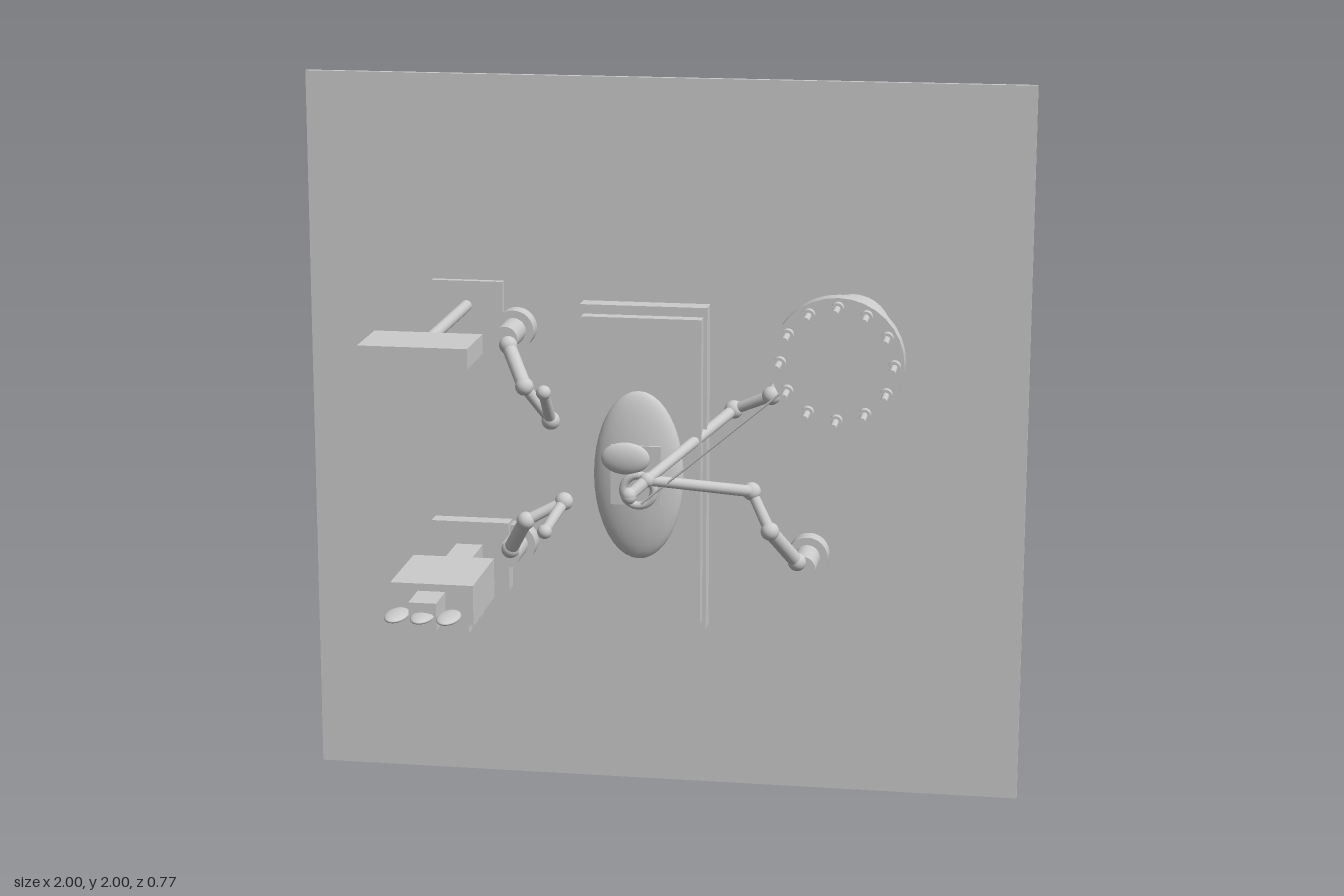
import * as THREE from 'three';

const material = new THREE.MeshStandardMaterial({ color: 0xcccccc });

export function createModel() {
  const root = new THREE.Group();

  function add(name, geometry, x = 0, y = 0, z = 0, parent = root) {
    const mesh = new THREE.Mesh(geometry, material);
    mesh.name = name;
    mesh.position.set(x, y, z);
    parent.add(mesh);
    return mesh;
  }
  // Box given by its minimum and maximum on each axis
  const box = (name, x0, x1, y0, y1, z0, z1, parent) =>
    add(name, new THREE.BoxGeometry(x1 - x0, y1 - y0, z1 - z0),
      (x0 + x1) / 2, (y0 + y1) / 2, (z0 + z1) / 2, parent);
  // Cylinder running along z
  const disc = (name, r, x, y, z0, z1, parent) =>
    add(name, new THREE.CylinderGeometry(r, r, z1 - z0, 32).rotateX(Math.PI / 2),
      x, y, (z0 + z1) / 2, parent);
  const ellipsoid = (name, rx, ry, rz, x, y, z, parent) =>
    add(name, new THREE.SphereGeometry(1, 32, 20).scale(rx, ry, rz), x, y, z, parent);
  // Rod between two points
  function rod(name, a, b, r0, r1, parent) {
    const start = new THREE.Vector3(...a), end = new THREE.Vector3(...b);
    const dir = end.clone().sub(start);
    const mid = start.clone().add(end).multiplyScalar(0.5);
    const mesh = add(name, new THREE.CylinderGeometry(r1, r0, dir.length(), 16), mid.x, mid.y, mid.z, parent);
    mesh.quaternion.setFromUnitVectors(new THREE.Vector3(0, 1, 0), dir.normalize());
  }
  function group(name) {
    const g = new THREE.Group();
    g.name = name;
    root.add(g);
    return g;
  }

  // Back panel
  box('backPanel', -1, 1, 0, 2, -0.386, -0.37);

  // Table on a thick column
  const table = group('table');
  disc('column', 0.075, 0, 1.005, -0.37, -0.06, table);
  box('tableFrame', -0.17, 0.17, 0.565, 1.445, -0.062, -0.008, table);
  box('tablePad', -0.16, 0.16, 0.59, 1.42, -0.008, 0.03, table);

  // Patient shape with operating site
  const patient = group('patient');
  ellipsoid('body', 0.12, 0.228, 0.042, 0, 1.005, 0.067, patient);
  box('drape', -0.068, 0.065, 0.935, 1.095, 0.085, 0.113, patient);
  ellipsoid('organ', 0.065, 0.043, 0.02, -0.025, 1.065, 0.13, patient);
  add('ring', new THREE.TorusGeometry(0.041, 0.011, 12, 32), 0.01, 0.98, 0.13, patient);
  rod('probe', [0.39, 1.27, 0.195], [0.02, 0.95, 0.155], 0.003, 0.003, patient);

  // Jointed arms: shoulder, elbow, wrist, tip
  const arms = [
    ['upperLeftArm', 0.41, 1.305, [[0.395, 1.275, -0.18], [0.33, 1.195, -0.1], [0.225, 1.145, -0.135], [0.045, 1.03, 0.21], [0.005, 0.995, 0.255]]],
    ['lowerLeftArm', 0.41, 0.695, [[0.395, 0.715, -0.18], [0.33, 0.82, -0.1], [0.275, 0.92, -0.135], [0.045, 1.03, 0.21], [0.005, 1.0, 0.255]]],
    ['upperRightArm', -0.41, 1.305, [[-0.4, 1.29, -0.18], [-0.34, 1.195, -0.1], [-0.275, 1.095, -0.135], [-0.275, 1.195, -0.035]]],
    ['lowerRightArm', -0.41, 0.695, [[-0.4, 0.715, -0.18], [-0.34, 0.82, -0.1], [-0.24, 0.87, -0.135], [-0.275, 0.81, -0.035]]],
  ];
  for (const [name, x, y, points] of arms) {
    const arm = group(name);
    disc('armBase', 0.056, x, y, -0.352, -0.3, arm);
    disc('armTurret', 0.035, x, y, -0.3, -0.182, arm);
    points.forEach((p, i) => {
      ellipsoid('armJoint', ...Array(3).fill(i < 3 ? 0.025 : 0.02), ...p, arm);
      if (i > 0) rod('armLink', points[i - 1], p, i === 1 ? 0.02 : 0.016, i === 1 ? 0.02 : 0.014, arm);
    });
  }

  // Tool carousel with pegs around its rim
  const carousel = group('carousel');
  const cx = 0.545, cy = 1.375;
  disc('carouselBase', 0.104, cx, cy, -0.09, -0.015, carousel);
  disc('carouselStem', 0.031, cx, cy, -0.015, 0.255, carousel);
  disc('carouselDisc', 0.17, cx, cy, 0.255, 0.3, carousel);
  for (let i = 0; i < 12; i++) {
    const a = i * Math.PI / 6;
    const x = cx + 0.145 * Math.cos(a), y = cy + 0.145 * Math.sin(a);
    disc('pegCollar', 0.016, x, y, 0.295, 0.322, carousel);
    disc('peg', 0.009, x, y, 0.32, 0.386, carousel);
  }

  // Supply tray on a pole
  const tray = group('tray');
  box('trayMount', -0.65, -0.45, 1.285, 1.43, -0.37, -0.35, tray);
  disc('trayPole', 0.016, -0.553, 1.36, -0.352, 0.125, tray);
  box('trayPlate', -0.695, -0.405, 1.33, 1.383, 0.122, 0.312, tray);

  // Dispenser: mount, neck, housing, strips and rounded paddles
  const dispenser = group('dispenser');
  box('dispenserMount', -0.645, -0.425, 0.565, 0.76, -0.33, -0.28, dispenser);
  box('dispenserNeck', -0.575, -0.5, 0.62, 0.695, -0.28, 0.3, dispenser);
  box('dispenserHousing', -0.65, -0.425, 0.605, 0.715, -0.08, 0.19, dispenser);
  for (const z of [0.11, 0.037, -0.035])
    box('strip', -0.615, -0.45, 0.565, 0.607, z - 0.022, z + 0.022, dispenser);
  add('knob', new THREE.CylinderGeometry(0.02, 0.02, 0.045, 24), -0.537, 0.565, -0.13, dispenser);
  for (const x of [-0.607, -0.537, -0.467])
    ellipsoid('paddle', 0.031, 0.011, 0.064, x, 0.658, 0.298, dispenser);

  return root;
}
